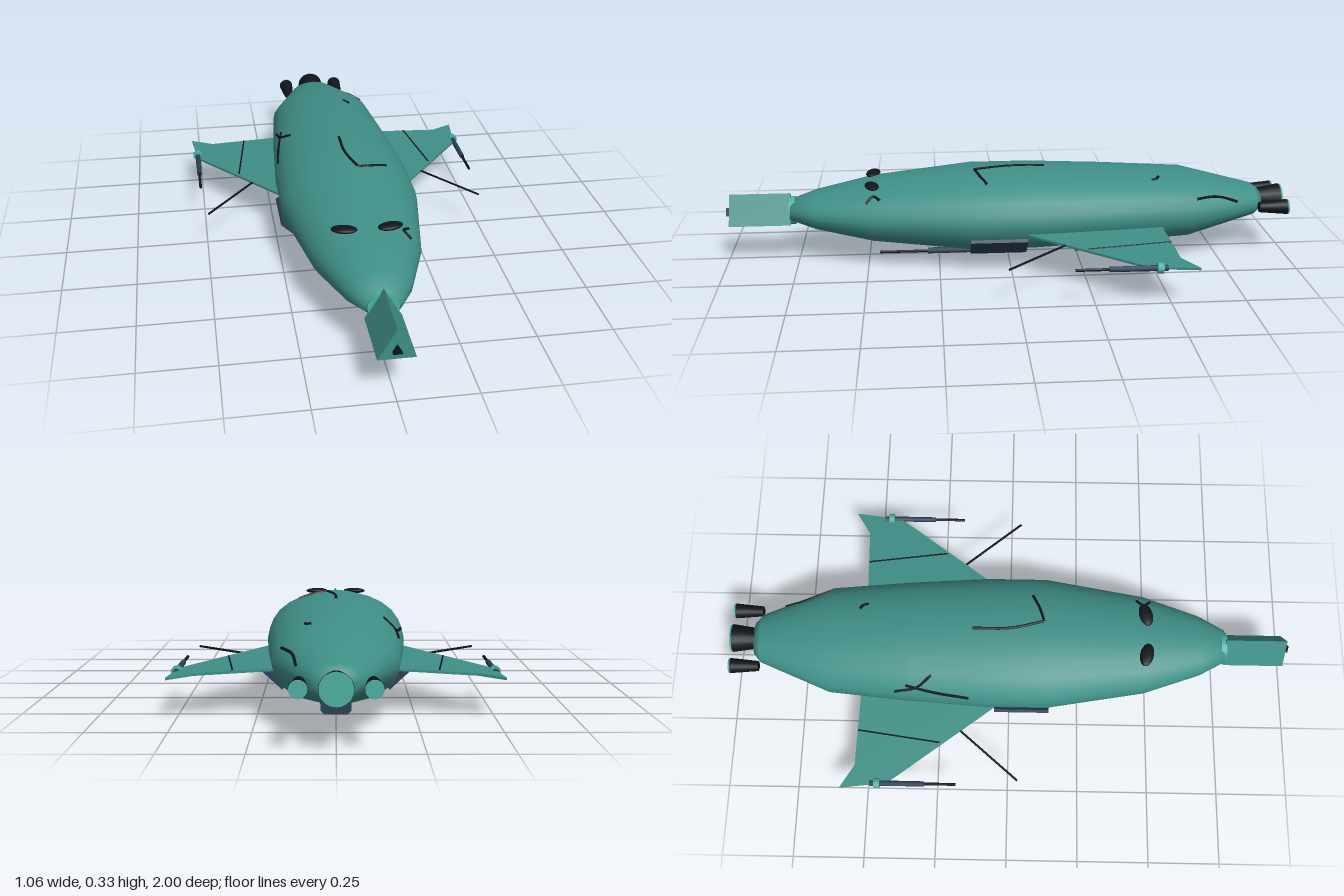
import * as THREE from 'three';

const mat = (color) => new THREE.MeshStandardMaterial({ color });
const TEAL = mat(0x3f8f87), LIGHT = mat(0x4fb0a3), NAVY = mat(0x2b4055), BLACK = mat(0x10151a);
const CY = 0.18, SQUASH = 0.6;

// hull radius along z, tail to nose
const PROFILE = [[-0.92, 0], [-0.915, 0.06], [-0.89, 0.09], [-0.64, 0.195], [-0.35, 0.222], [-0.08, 0.24],
  [0.13, 0.24], [0.48, 0.18], [0.68, 0.11], [0.77, 0.06], [0.775, 0]];

function hullRadius(z) {
  for (let i = 1; i < PROFILE.length; i++) {
    const [z0, r0] = PROFILE[i - 1], [z1, r1] = PROFILE[i];
    if (z <= z1) return r0 + (r1 - r0) * (z - z0) / (z1 - z0);
  }
  return 0;
}

// point on the hull skin above (or below) x, z
function onHull(x, z, up = 1) {
  const r = hullRadius(z);
  return new THREE.Vector3(x, CY + up * SQUASH * Math.sqrt(Math.max(0, r * r - x * x)), z);
}

function add(parent, name, geometry, material, x = 0, y = 0, z = 0) {
  const mesh = new THREE.Mesh(geometry, material);
  mesh.name = name;
  mesh.position.set(x, y, z);
  parent.add(mesh);
  return mesh;
}

// cylinder along z from z0 (radius r0) to z1 (radius r1)
function zCylinder(z0, z1, r0, r1, sides = 16) {
  return new THREE.CylinderGeometry(r1, r0, z1 - z0, sides).rotateX(Math.PI / 2).translate(0, 0, (z0 + z1) / 2);
}

// thin rod between two points
function rod(a, b, r) {
  return new THREE.TubeGeometry(new THREE.LineCurve3(new THREE.Vector3(...a), new THREE.Vector3(...b)), 1, r, 6);
}

export function createModel() {
  const ship = new THREE.Group();
  ship.name = 'spaceship';

  // hull
  const hull = new THREE.LatheGeometry(PROFILE.map(([z, r]) => new THREE.Vector2(r, z)), 24);
  hull.rotateX(Math.PI / 2).scale(1, SQUASH, 1);
  add(ship, 'hull', hull, TEAL, 0, CY, 0);

  // nose collar, three-sided cannon and its muzzle
  add(ship, 'noseCollar', zCylinder(0.755, 0.775, 0.05, 0.05, 20), LIGHT, 0, 0.177, 0);
  const prism = (z0, z1, r) => {
    const s = new THREE.Shape([0, 1, 2].map((i) => {
      const a = Math.PI / 2 + i * Math.PI * 2 / 3;
      return new THREE.Vector2(r * Math.cos(a), r * Math.sin(a));
    }));
    return new THREE.ExtrudeGeometry(s, { depth: z1 - z0, bevelEnabled: false }).translate(0, 0, z0);
  };
  add(ship, 'noseCannon', prism(0.77, 0.985, 0.067), TEAL, 0, 0.174, 0);
  add(ship, 'noseMuzzle', prism(0.97, 1, 0.017), BLACK, 0, 0.174, 0);

  // engines with glowing ends
  for (const [x, r0, r1] of [[0, 0.05, 0.035], [-0.105, 0.027, 0.018], [0.105, 0.027, 0.018]]) {
    add(ship, 'engine', zCylinder(-0.994, -0.895, r0, r1, 20), BLACK, x, CY, 0);
    add(ship, 'engineGlow', zCylinder(-1, -0.993, r0 * 0.98, r0 * 0.98, 20), LIGHT, x, CY, 0);
  }

  for (const side of [1, -1]) {
    // wing with its gun, aerial and panel line
    const wing = new THREE.Group();
    wing.name = side > 0 ? 'leftWing' : 'rightWing';
    wing.position.y = 0.158;
    wing.rotation.z = -0.055 * side;
    ship.add(wing);
    const outline = [[0.15, 0.03], [0.24, -0.06], [0.51, -0.42], [0.53, -0.585], [0.45, -0.535], [0.15, -0.525]];
    const shape = new THREE.Shape(outline.map(([x, z]) => new THREE.Vector2(x * side, z)));
    const slab = new THREE.ExtrudeGeometry(shape, { depth: 0.008, bevelEnabled: false });
    add(wing, 'wingPanel', slab.rotateX(Math.PI / 2), TEAL, 0, 0.004, 0);
    add(wing, 'wingSeam', rod([0.325 * side, 0.004, -0.53], [0.365 * side, 0.004, -0.24], 0.003), BLACK);
    add(wing, 'wingAerial', rod([0.32 * side, 0, -0.17], [0.495 * side, 0, 0.035], 0.004), BLACK);
    add(wing, 'wingGun', zCylinder(-0.48, -0.29, 0.01, 0.009, 10), NAVY, 0.512 * side, 0, 0);
    add(wing, 'wingGunBarrel', zCylinder(-0.3, -0.18, 0.005, 0.005, 8), BLACK, 0.512 * side, 0, 0);
    add(wing, 'wingGunRing', zCylinder(-0.465, -0.445, 0.018, 0.018, 12), LIGHT, 0.512 * side, 0, 0);

    // nose windows
    const w = add(ship, 'window', new THREE.SphereGeometry(1, 20, 12), BLACK, 0.075 * side, 0.285, 0.48);
    w.scale.set(0.043, 0.01, 0.024);
    w.rotation.y = 0.22 * side;

    // flank plates
    for (const z of [0.045, -0.32]) {
      const plate = add(ship, 'flankPlate', new THREE.BoxGeometry(0.095, 0.012, 0.195), NAVY, 0.206 * side, 0.098, z);
      plate.rotation.z = 0.75 * side;
    }

    // belly guns
    add(ship, 'bellyGun', zCylinder(0.135, 0.29, 0.011, 0.011, 10), NAVY, 0.07 * side, 0.036, 0);
    add(ship, 'bellyGunBarrel', zCylinder(0.28, 0.46, 0.005, 0.005, 8), BLACK, 0.07 * side, 0.035, 0);
  }

  // belly pod with chamfered lower edges and a sunken hatch
  const pod = new THREE.Shape([[-0.05, 0.06], [-0.05, 0.012], [-0.038, 0], [0.038, 0], [0.05, 0.012], [0.05, 0.06]]
    .map(([x, y]) => new THREE.Vector2(x, y)));
  add(ship, 'bellyPod', new THREE.ExtrudeGeometry(pod, { depth: 0.22, bevelEnabled: false }), NAVY, 0, 0, -0.51);
  add(ship, 'podHatch', new THREE.BoxGeometry(0.06, 0.002, 0.17), BLACK, 0, 0, -0.4).position.y = 0.0005;

  // dark scratches lying on the skin: [up, [x, z]...]
  const scratches = [
    [1, [0, -0.13], [0.002, 0], [0.03, 0.12]],
    [1, [0.03, 0.12], [0.08, 0.105], [0.135, 0.08]],
    [1, [-0.205, -0.4], [-0.195, -0.32], [-0.16, -0.27]],
    [1, [-0.19, -0.36], [-0.21, -0.26], [-0.225, -0.14]],
    [1, [0.115, -0.81], [0.13, -0.73], [0.165, -0.65]],
    [1, [0.075, -0.53], [0.09, -0.52], [0.097, -0.5]],
    [1, [0.14, 0.45], [0.12, 0.475], [0.14, 0.5]],
    [-1, [-0.19, 0.26], [-0.165, 0.3], [-0.11, 0.3]],
  ];
  for (const [up, ...pts] of scratches) {
    const flat = new THREE.CatmullRomCurve3(pts.map(([x, z]) => new THREE.Vector3(x, 0, z)));
    const curve = new THREE.CatmullRomCurve3(flat.getPoints(8).map((p) => onHull(p.x, p.z, up)));
    add(ship, 'scratch', new THREE.TubeGeometry(curve, 24, 0.005, 6), BLACK);
  }
  return ship;
}
